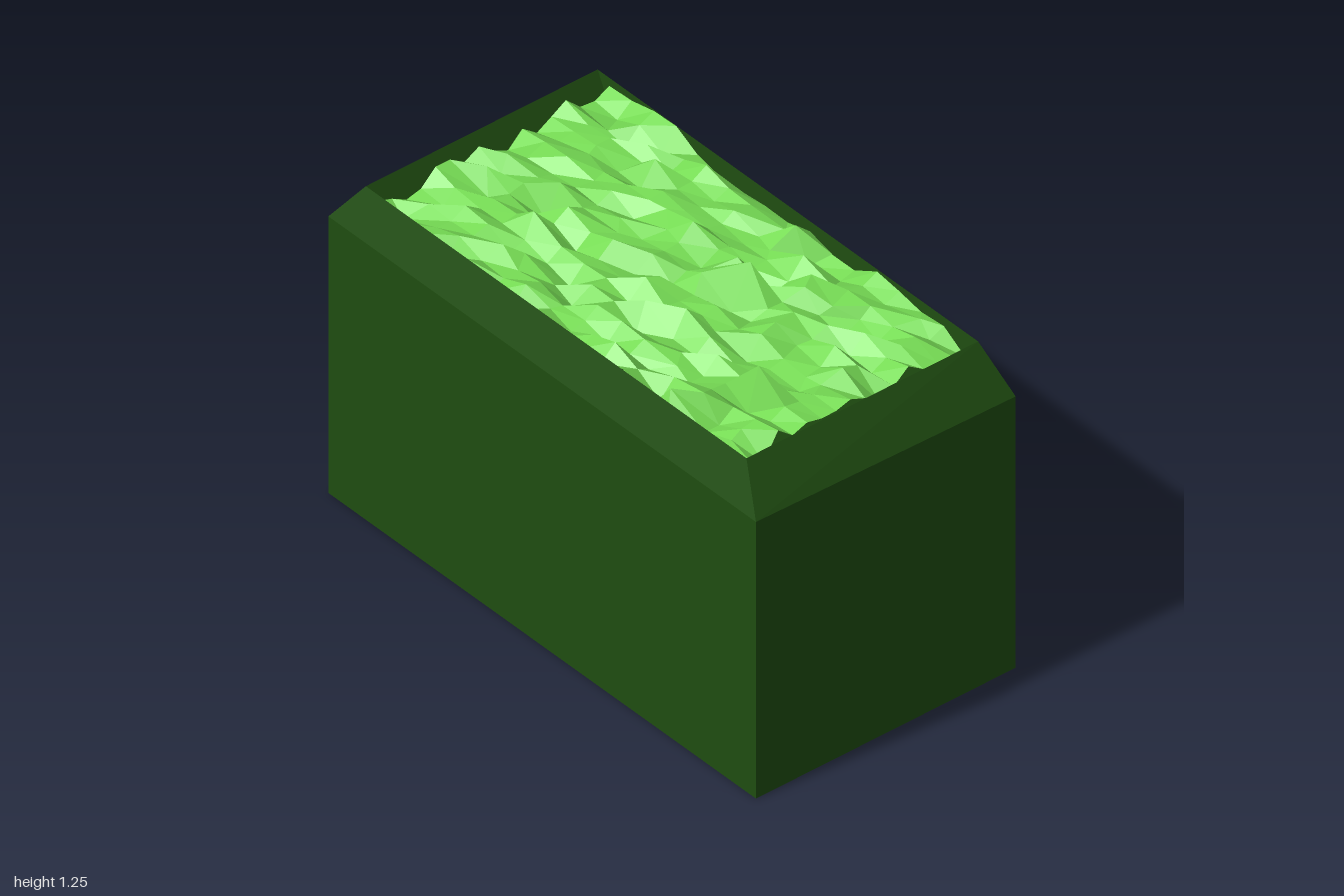
import * as THREE from 'three';

// Seeded random numbers in 0..1
function seeded(seed) {
  return () => {
    seed = (seed * 1664525 + 1013904223) % 4294967296;
    return seed / 4294967296;
  };
}

// Skins a stack of rectangular rings: [half width, half depth, front y, back y]
function loft(rings, capBottom) {
  const pos = [], index = [];
  for (const [x, z, yf, yb] of rings) {
    pos.push(-x, yf, z, x, yf, z, x, yb, -z, -x, yb, -z);
  }
  for (let r = 0; r < rings.length - 1; r++) {
    for (let k = 0; k < 4; k++) {
      const a = r * 4 + k, b = r * 4 + (k + 1) % 4;
      index.push(a, b, b + 4, a, b + 4, a + 4);
    }
  }
  if (capBottom) index.push(0, 2, 1, 0, 3, 2);
  const geo = new THREE.BufferGeometry();
  geo.setAttribute('position', new THREE.Float32BufferAttribute(pos, 3));
  geo.setIndex(index);
  const flat = geo.toNonIndexed();
  flat.computeVertexNormals();
  return flat;
}

// Bumpy clipped top: a 16 x 16 grid with uneven heights
function foliageGeometry() {
  const n = 16, w = 1.67, d = 0.91, rand = seeded(7);
  const geo = new THREE.PlaneGeometry(w, d, n, n).rotateX(-Math.PI / 2);
  const p = geo.attributes.position;
  for (let j = 0; j <= n; j++) {
    for (let i = 0; i <= n; i++) {
      const v = j * (n + 1) + i;
      const inside = i > 0 && i < n && j > 0 && j < n;
      p.setY(v, 1.08 + 0.07 * (rand() + rand()));
      // a few points wander off the grid
      const wander = rand() < 0.25 && inside ? 1 : 0;
      p.setX(v, p.getX(v) + wander * (rand() - 0.5) * 0.09);
      p.setZ(v, p.getZ(v) + wander * (rand() - 0.5) * 0.05);
    }
  }
  // two tallest tufts
  p.setXYZ(11 * (n + 1) + 14, 0.62, 1.25, 0.18);
  p.setXYZ(6 * (n + 1) + 10, 0.2, 1.245, -0.14);
  const flat = geo.toNonIndexed();
  flat.computeVertexNormals();
  return flat;
}

export function createModel() {
  const group = new THREE.Group();
  const darkGreen = new THREE.MeshStandardMaterial({ color: 0x1f4d11, flatShading: true, side: THREE.DoubleSide });
  const lightGreen = new THREE.MeshStandardMaterial({ color: 0x76dc54, flatShading: true, side: THREE.DoubleSide });

  const add = (name, geo, mat) => {
    const mesh = new THREE.Mesh(geo, mat);
    mesh.name = name;
    group.add(mesh);
  };

  // Box with bevelled shoulders
  add('hedgeBody', loft([
    [1, 0.51, 0, 0],
    [1, 0.51, 1.04, 1.02],
    [0.89, 0.455, 1.19, 1.19],
  ], true), darkGreen);

  // Sunken inner wall below the rim
  add('innerWall', loft([
    [0.89, 0.455, 1.19, 1.19],
    [0.83, 0.453, 1.08, 1.08],
  ], false), darkGreen);

  add('foliageTop', foliageGeometry(), lightGreen);
  return group;
}
